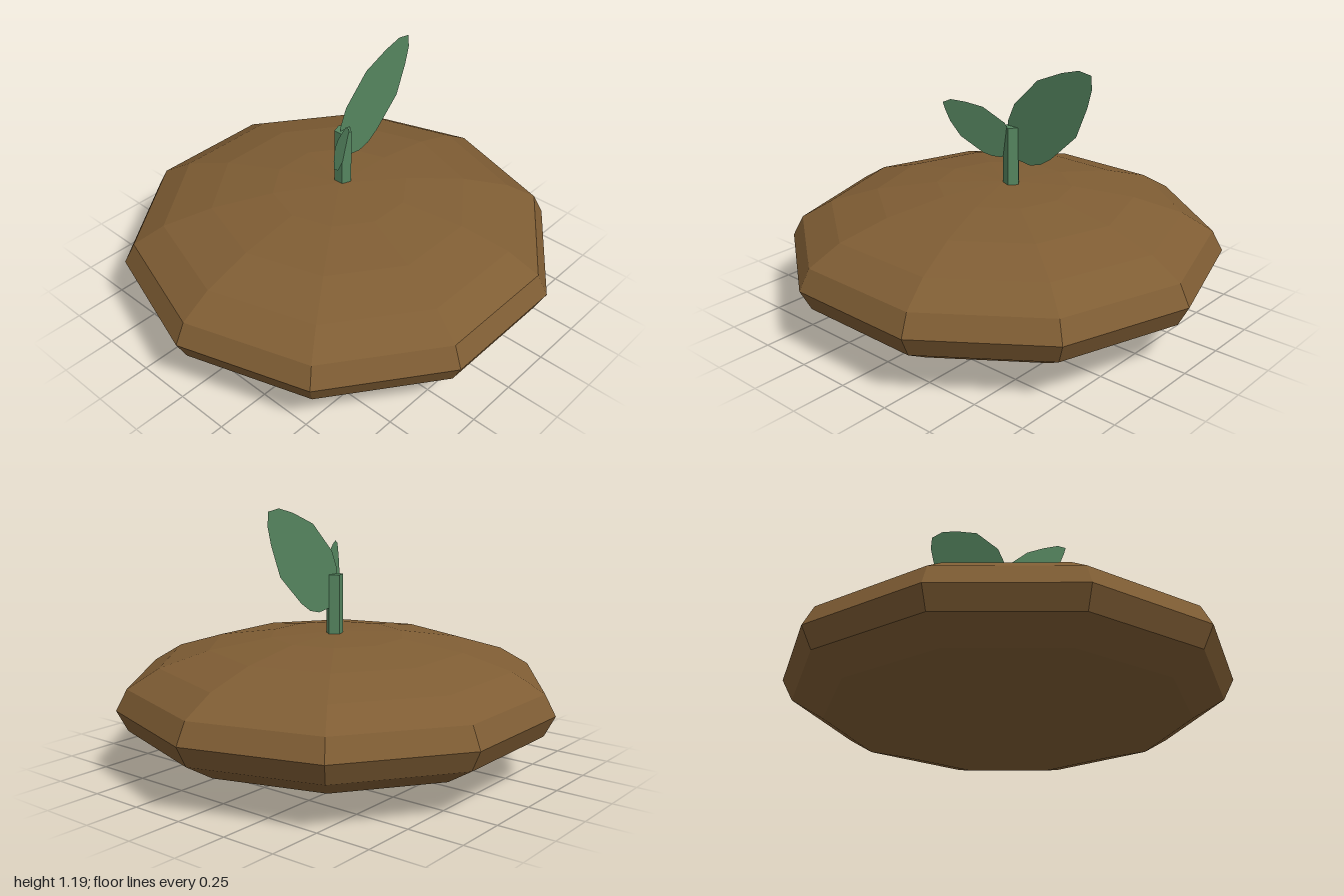
import * as THREE from 'three';

const soil = new THREE.MeshStandardMaterial({ color: 0x7f5d34, flatShading: true });
const green = new THREE.MeshStandardMaterial({ color: 0x55855f, flatShading: true });
const leafGreen = new THREE.MeshStandardMaterial({ color: 0x55855f, flatShading: true, side: THREE.DoubleSide });

// Flat leaf from an x-y outline, laid on the plane z = a + b x + c y
function makeLeaf(name, outline, a, b = 0, c = 0) {
  const shape = new THREE.Shape(outline.map(([x, y]) => new THREE.Vector2(x, y)));
  const geometry = new THREE.ShapeGeometry(shape);
  const p = geometry.attributes.position;
  for (let i = 0; i < p.count; i++) p.setZ(i, a + b * p.getX(i) + c * p.getY(i));
  geometry.computeVertexNormals();
  const mesh = new THREE.Mesh(geometry, leafGreen);
  mesh.name = name;
  return mesh;
}

export function createModel() {
  const model = new THREE.Group();
  model.name = 'sproutingMound';

  // Flattened ten-sided mound of soil
  const mound = new THREE.Mesh(new THREE.SphereGeometry(1, 10, 10), soil);
  mound.name = 'soilMound';
  mound.scale.y = 0.305;
  mound.position.y = 0.305;
  model.add(mound);

  // Five-sided stem, one corner towards +x
  const stem = new THREE.Mesh(new THREE.CylinderGeometry(0.04, 0.04, 0.35, 5), green);
  stem.name = 'stem';
  stem.rotation.y = Math.PI / 2;
  stem.position.set(0.034, 0.7, -0.012);
  model.add(stem);

  // Large upright leaf, facing the front
  model.add(makeLeaf('largeLeaf', [
    [0.03, 0.74], [0.07, 0.725], [0.14, 0.715], [0.2, 0.73], [0.26, 0.77], [0.395, 0.9],
    [0.45, 1.04], [0.47, 1.12], [0.465, 1.18], [0.4, 1.19], [0.31, 1.165], [0.18, 1.11],
    [0.05, 0.98], [0.015, 0.9], [0.015, 0.8],
  ], -0.01));

  // Small leaf, reaching forward and sideways
  model.add(makeLeaf('smallLeaf', [
    [0.03, 0.75], [-0.005, 0.727], [-0.04, 0.73], [-0.075, 0.743], [-0.16, 0.818], [-0.195, 0.89],
    [-0.209, 0.947], [-0.214, 0.979], [-0.18, 0.995], [-0.12, 0.987], [-0.053, 0.968],
    [0.027, 0.898], [0.04, 0.86],
  ], -0.11, -0.53, 0.17));

  return model;
}
